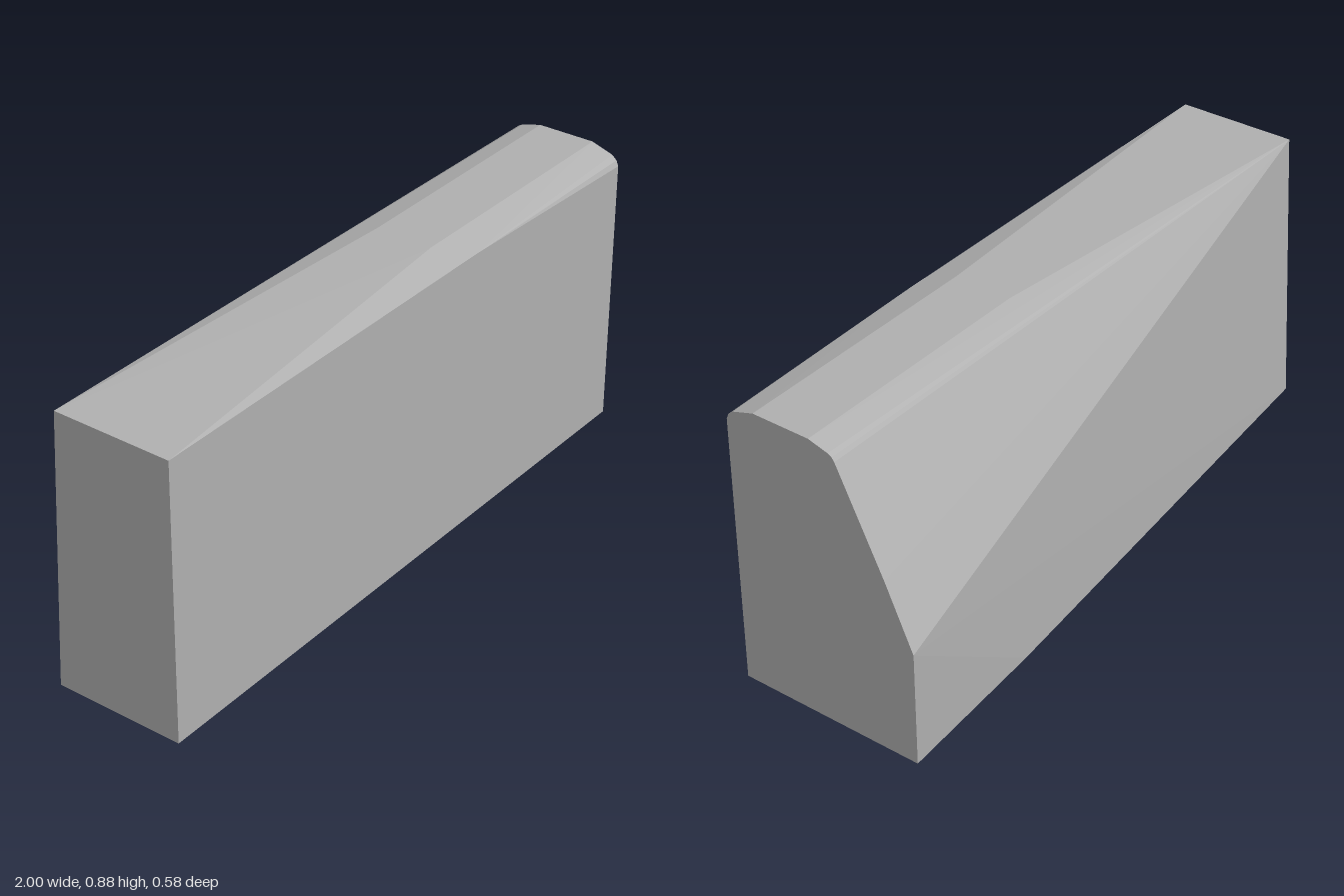
import * as THREE from 'three';
import { ConvexGeometry } from 'three/addons/geometries/ConvexGeometry.js';

export function createModel() {
  const group = new THREE.Group();
  const grey = new THREE.MeshStandardMaterial({ color: 0xb2b2b2 });
  grey.name = 'plain grey';

  // Each section is [x, [z, y] corners]; the block is the convex skin around them.
  const sections = [
    // slim square end
    [-1, [[0.29, 0], [0.29, 0.853], [-0.075, 0.855], [-0.11, 0]]],
    // start of the flat top ridge
    [0.2, [[0.2, 0.88], [0.02, 0.88]]],
    // where the front edge starts to round off
    [0.29, [[0.29, 0.853]]],
    // slight bend in the back of the base
    [0.5, [[-0.255, 0]]],
    // wide end with rounded top and sloping back
    [1, [[0.29, 0], [0.29, 0.828], [0.283, 0.845], [0.268, 0.858], [0.2, 0.88],
      [0.02, 0.88], [-0.042, 0.863], [-0.054, 0.856], [-0.062, 0.845],
      [-0.205, 0.548], [-0.29, 0.355], [-0.29, 0]]],
  ];
  const points = sections.flatMap(([x, corners]) =>
    corners.map(([z, y]) => new THREE.Vector3(x, y, z)));

  const block = new THREE.Mesh(new ConvexGeometry(points), grey);
  block.name = 'taperedBlock';
  group.add(block);
  return group;
}
